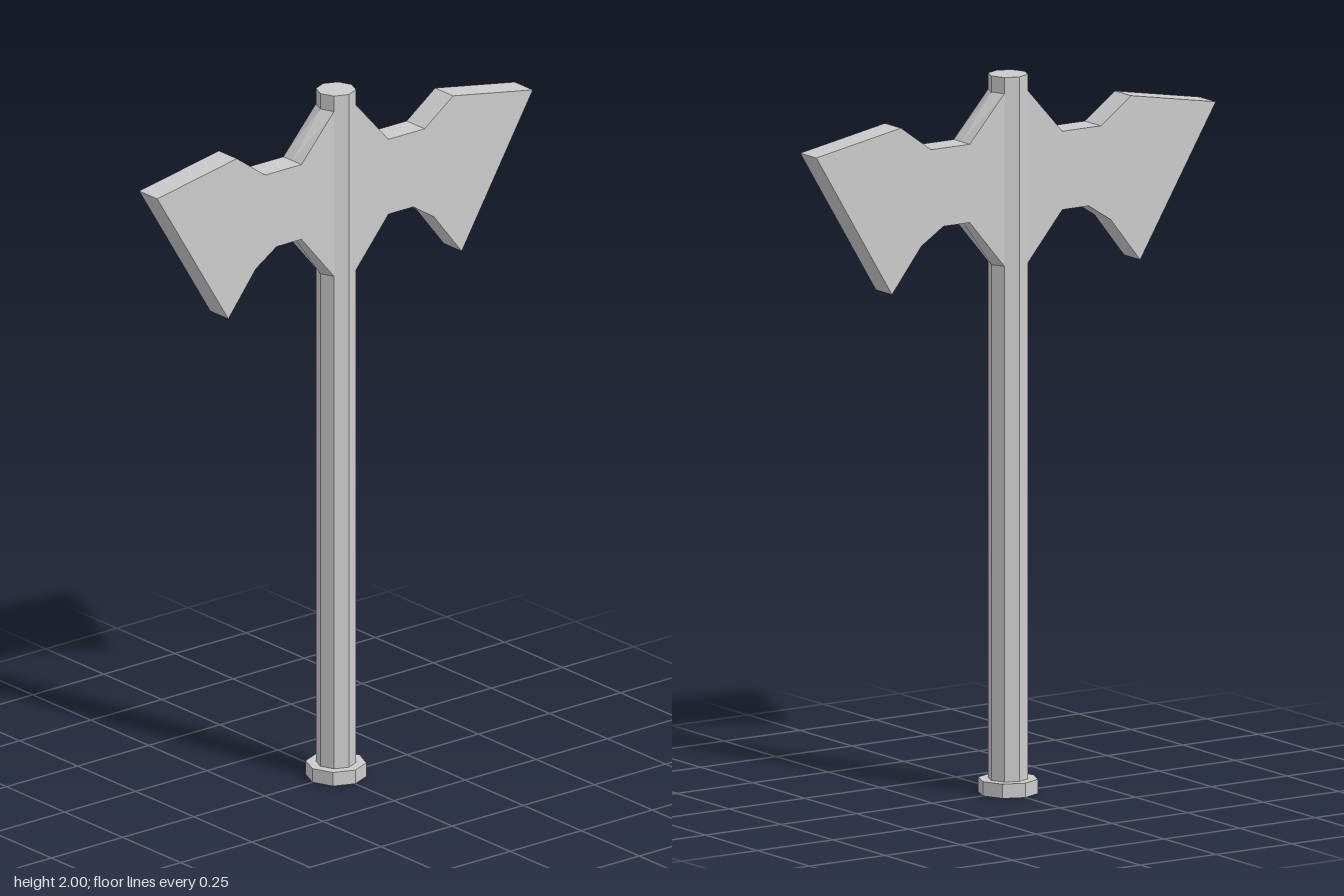
import * as THREE from 'three';

const SHAFT_R = 0.055;
const HALF = SHAFT_R * Math.SQRT1_2; // half thickness of the head

export function createModel() {
  const model = new THREE.Group();
  const material = new THREE.MeshStandardMaterial({ color: 0xcccccc, flatShading: true });

  const add = (name, geometry) => {
    const mesh = new THREE.Mesh(geometry, material);
    mesh.name = name;
    model.add(mesh);
  };

  // Octagonal prism standing between two heights, one corner facing front
  const octagon = (radius, y0, y1) =>
    new THREE.CylinderGeometry(radius, radius, y1 - y0, 8).translate(0, (y0 + y1) / 2, 0);

  add('pommel', octagon(0.083, 0, 0.04));
  add('shaft', octagon(SHAFT_R, 0.04, 2));

  // Double blade: right half of the outline from top to bottom, then mirrored
  const half = [
    [HALF, 1.955], [0.153, 1.828], [0.28, 1.828], [0.38, 1.9], [0.66, 1.85],
    [0.41, 1.44], [0.313, 1.563], [0.24, 1.61], [0.153, 1.61], [HALF, 1.475],
  ];
  const mirrored = half.map(([x, y]) => [-x, y]).reverse();
  const outline = [...half, ...mirrored].map(([x, y]) => new THREE.Vector2(x, y));
  const head = new THREE.ExtrudeGeometry(new THREE.Shape(outline), {
    depth: 2 * HALF, steps: 2, bevelEnabled: false,
  }).translate(0, 0, -HALF);

  // Push the middle of each root out to the shaft's side corner
  const pos = head.attributes.position;
  for (let i = 0; i < pos.count; i++) {
    const x = pos.getX(i);
    if (Math.abs(pos.getZ(i)) < 0.001 && Math.abs(x) < 0.05) pos.setX(i, Math.sign(x) * SHAFT_R);
  }
  head.computeVertexNormals();
  add('doubleBlade', head);

  return model;
}
